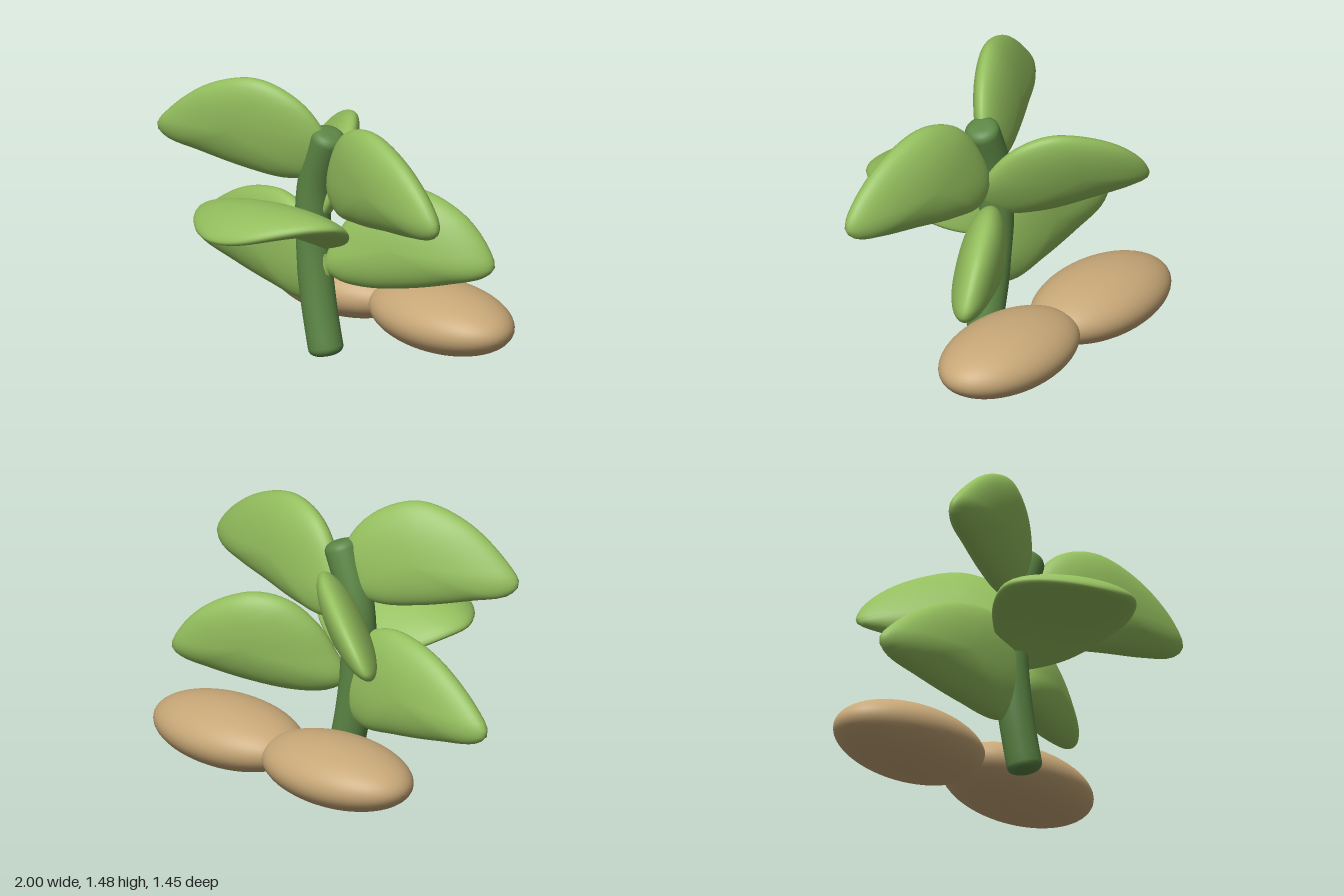
import * as THREE from 'three';
import { mergeVertices } from 'three/addons/utils/BufferGeometryUtils.js';

const leafGreen = new THREE.MeshStandardMaterial({ name: 'leafGreen', color: 0x93be5d });
const stemGreen = new THREE.MeshStandardMaterial({ name: 'stemGreen', color: 0x5c8645 });
const seedTan = new THREE.MeshStandardMaterial({ name: 'seedTan', color: 0xc7a777 });

// Moves every vertex by a rule, then welds seams so the shading stays smooth.
function reshape(geometry, rule) {
  const pos = geometry.attributes.position;
  const p = new THREE.Vector3();
  for (let i = 0; i < pos.count; i++) {
    p.fromBufferAttribute(pos, i);
    rule(p);
    pos.setXYZ(i, p.x, p.y, p.z);
  }
  geometry.deleteAttribute('uv');
  geometry.deleteAttribute('normal');
  const welded = mergeVertices(geometry, 1e-5);
  welded.computeVertexNormals();
  return welded;
}

function addMesh(group, name, geometry, material) {
  const mesh = new THREE.Mesh(geometry, material);
  mesh.name = name;
  group.add(mesh);
  return mesh;
}

// Plump leaf: a sphere whose equator follows a counter-clockwise outline (u, v).
// place(u, v, w) turns outline coordinates and thickness into a position.
function leafGeometry(outline, halfThickness, place) {
  const curve = new THREE.CatmullRomCurve3(
    outline.map(([u, v]) => new THREE.Vector3(u, v, 0)), true, 'centripetal');
  const rim = curve.getSpacedPoints(64);
  const centre = new THREE.Vector3();
  rim.slice(0, 64).forEach((q) => centre.addScaledVector(q, 1 / 64));
  const q = new THREE.Vector3();
  return reshape(new THREE.SphereGeometry(1, 64, 28), (p) => {
    const s = Math.min(1, Math.hypot(p.x, p.z));
    const turn = Math.atan2(-p.z, p.x) / (2 * Math.PI) + 1;
    q.copy(centre).lerp(rim[Math.round(turn * 64) % 64], s);
    p.set(...place(q.x, q.y, p.y * halfThickness));
  });
}

// Upright leaves: outline in x/y; z follows z0 + slope * x, and the blade
// leans forwards or backwards about the height mid.
const uprightLeaves = [
  { name: 'upperRightLeaf', z0: 0.035, slope: -0.425, lean: 0.2, mid: 1.17, half: 0.115, outline: [
    [0.02, 1.13], [0, 1.25], [-0.1, 1.39], [-0.3, 1.48], [-0.55, 1.41], [-0.78, 1.23],
    [-0.86, 1.12], [-0.82, 1.06], [-0.65, 1.01], [-0.4, 0.95], [-0.2, 0.93], [-0.05, 0.98]] },
  { name: 'upperLeftLeaf', z0: 0, slope: 0.135, lean: 0.08, mid: 1.05, half: 0.12, outline: [
    [1, 0.98], [0.93, 1.1], [0.7, 1.27], [0.42, 1.35], [0.2, 1.28], [0.06, 1.1],
    [0.01, 0.9], [0.09, 0.8], [0.3, 0.8], [0.55, 0.84], [0.8, 0.88], [0.95, 0.92]] },
  { name: 'lowerRightLeaf', z0: 0.01, slope: 0, lean: 0.08, mid: 0.5, half: 0.115, outline: [
    [0.02, 0.45], [-0.02, 0.62], [-0.12, 0.75], [-0.28, 0.82], [-0.45, 0.81], [-0.65, 0.74],
    [-0.9, 0.57], [-1, 0.45], [-0.95, 0.39], [-0.7, 0.33], [-0.4, 0.28], [-0.15, 0.26], [-0.02, 0.34]] },
  { name: 'lowerBackLeftLeaf', z0: -0.055, slope: -0.505, lean: -0.15, mid: 0.62, half: 0.14, outline: [
    [0.78, 0.57], [0.74, 0.67], [0.6, 0.83], [0.38, 0.935], [0.22, 0.91], [0.09, 0.79],
    [0.01, 0.63], [-0.03, 0.48], [0.05, 0.415], [0.2, 0.395], [0.4, 0.42], [0.6, 0.47], [0.74, 0.52]] },
  { name: 'upperBackRightLeaf', z0: -0.06, slope: 0.73, lean: -0.48, mid: 0.9, half: 0.13, outline: [
    [0.04, 0.87], [0.03, 1.02], [-0.03, 1.13], [-0.15, 1.19], [-0.34, 1.14], [-0.52, 1.03],
    [-0.64, 0.9], [-0.67, 0.82], [-0.62, 0.78], [-0.45, 0.72], [-0.25, 0.67], [-0.06, 0.7]] },
];

// Front leaf: outline in x/-z, arching outwards from the stem.
const frontOutline = [
  [0.42, -0.33], [0.38, -0.2], [0.28, -0.1], [0.12, -0.03], [-0.08, 0], [-0.28, -0.1],
  [-0.43, -0.24], [-0.49, -0.4], [-0.44, -0.51], [-0.33, -0.62], [-0.21, -0.69], [-0.08, -0.72],
  [0.07, -0.7], [0.2, -0.63], [0.35, -0.48]];

function frontArch(u, v, w) {
  const d = -v - 0.46;
  return [u, 0.84 - 0.95 * d * d + 0.5 * d ** 3 + 0.12 * u + w, -v];
}

// Stem: a rod with rounded ends swept square to a gentle bow.
function stemGeometry() {
  const base = 0.005, height = 1.225, radius = 0.092, round = 0.065;
  const bow = new THREE.SplineCurve([0.015, -0.055, -0.092, -0.075, 0.04].map(
    (x, i) => new THREE.Vector2(x, base + i * height / 4)));
  const profile = [new THREE.Vector2(0, 0)];
  const bevel = (k) => [radius - round + round * Math.sin(k), round - round * Math.cos(k)];
  for (let i = 0; i <= 6; i++) {
    const [r, y] = bevel(i * Math.PI / 12);
    profile.push(new THREE.Vector2(r, y));
  }
  for (let i = 1; i < 24; i++) {
    profile.push(new THREE.Vector2(radius, round + (height - 2 * round) * i / 24));
  }
  for (let i = 6; i >= 0; i--) {
    const [r, y] = bevel(i * Math.PI / 12);
    profile.push(new THREE.Vector2(r, height - y));
  }
  profile.push(new THREE.Vector2(0, height));
  return reshape(new THREE.LatheGeometry(profile, 32), (p) => {
    const t = p.y / height;
    const spine = bow.getPoint(t), along = bow.getTangent(t);
    p.set(spine.x + p.x * along.y, spine.y - p.x * along.x, p.z + 0.013);
  });
}

export function createModel() {
  const group = new THREE.Group();
  group.name = 'seedling';

  addMesh(group, 'stem', stemGeometry(), stemGreen);

  for (const { name, z0, slope, lean, mid, half, outline } of uprightLeaves) {
    const geometry = leafGeometry(outline, half,
      (u, v, w) => [u, v, z0 + slope * u + lean * (v - mid) + w]);
    addMesh(group, name, geometry, leafGreen);
  }

  addMesh(group, 'frontLeaf', leafGeometry(frontOutline, 0.085, frontArch), leafGreen);

  // Pair of seed halves lying behind the stem
  for (const side of [-1, 1]) {
    const seed = addMesh(group, side > 0 ? 'leftSeedHalf' : 'rightSeedHalf',
      new THREE.SphereGeometry(1, 48, 32), seedTan);
    seed.scale.set(0.465, 0.17, 0.285);
    seed.position.set(0.005 + side * 0.38, 0.21, -0.445);
  }
  return group;
}
